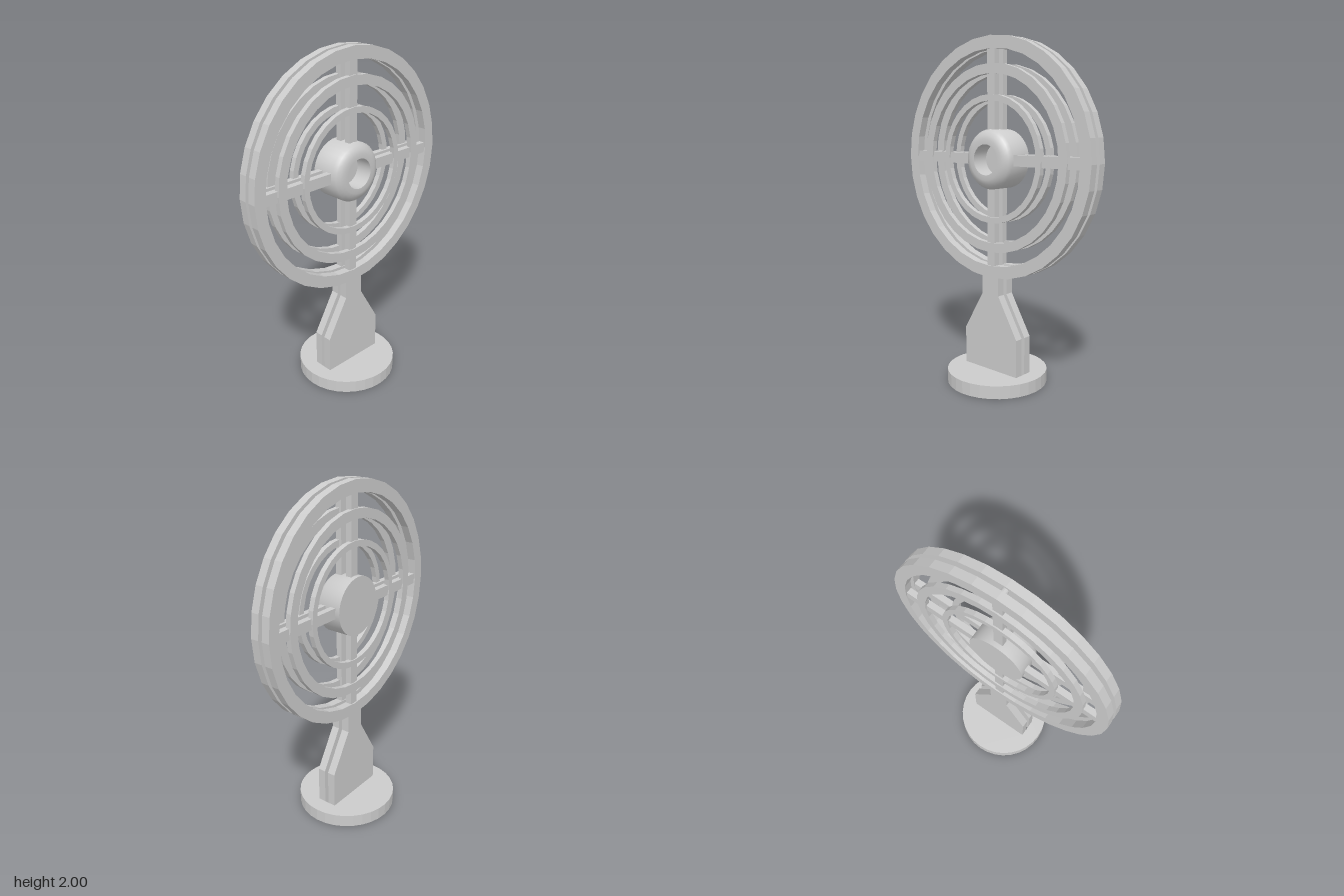
import * as THREE from 'three';
import { toCreasedNormals } from 'three/addons/utils/BufferGeometryUtils.js';

const flat = new THREE.MeshStandardMaterial({ color: 0xcccccc, flatShading: true });
const smooth = new THREE.MeshStandardMaterial({ color: 0xcccccc });
const CENTRE = 1.315; // height of the fan axis

function circle(radius, segments = 32) {
  const points = [];
  for (let i = 0; i < segments; i++) {
    const a = (i / segments) * Math.PI * 2;
    points.push(new THREE.Vector2(radius * Math.cos(a), radius * Math.sin(a)));
  }
  return points;
}

// Extrudes a side profile (z, y) across the x range
function plate(shape, x0, x1) {
  const geometry = new THREE.ExtrudeGeometry(shape, { depth: x1 - x0, bevelEnabled: false });
  return geometry.rotateY(Math.PI / 2).translate(x0, 0, 0);
}

function add(group, name, geometry, material = flat) {
  const mesh = new THREE.Mesh(geometry, material);
  mesh.name = name;
  group.add(mesh);
  return mesh;
}

function ring(outer, inner, x0, x1) {
  const shape = new THREE.Shape(circle(outer));
  shape.holes.push(new THREE.Path(circle(inner)));
  return plate(shape, x0, x1).translate(0, CENTRE, 0);
}

// Half of the cage and stand on one side (s = +1 or -1)
function createHalf(s) {
  const half = new THREE.Group();
  const range = (a, b) => (s > 0 ? [a, b] : [-b, -a]);

  add(half, 'outerRing', ring(0.685, 0.615, ...range(0.012, 0.06)));
  add(half, 'middleRing', ring(0.535, 0.48, ...range(0.03, 0.06)));
  add(half, 'innerRing', ring(0.365, 0.33, ...range(0.03, 0.06)));

  // Cross spokes between hub and outer ring
  for (const dir of [-1, 1]) {
    const x = s * 0.034;
    add(half, 'horizontalSpoke', new THREE.BoxGeometry(0.036, 0.062, 0.49))
      .position.set(x, CENTRE, dir * 0.385);
    add(half, 'verticalSpoke', new THREE.BoxGeometry(0.036, 0.49, 0.056))
      .position.set(x, CENTRE + dir * 0.385, 0);
  }

  // Stand plate: wide foot, tapered shoulders, narrow neck
  const outline = [[0.2, 0.045], [0.2, 0.295], [0.062, 0.53], [0.062, 0.655]];
  const points = [...outline, ...outline.map(([z, y]) => [-z, y]).reverse()];
  const shape = new THREE.Shape(points.map(([z, y]) => new THREE.Vector2(z, y)));
  add(half, 'standPlate', plate(shape, ...range(0.012, 0.06)));
  return half;
}

export function createModel() {
  const model = new THREE.Group();
  model.name = 'fan';

  for (const s of [1, -1]) {
    const half = createHalf(s);
    half.name = s > 0 ? 'frontHalf' : 'backHalf';
    model.add(half);
  }

  // Round base with a slot holding the stand plates
  const disc = new THREE.Shape(circle(0.295));
  disc.holes.push(new THREE.Path([[-0.06, -0.2], [-0.06, 0.2], [0.06, 0.2], [0.06, -0.2]]
    .map(([x, z]) => new THREE.Vector2(x, z))));
  const base = new THREE.ExtrudeGeometry(disc, { depth: 0.075, bevelEnabled: false });
  add(model, 'base', base.rotateX(-Math.PI / 2));

  // Hub with rounded front edge and a round recess
  const profile = [[0, -0.08], [0.17, -0.08], [0.17, 0.06], [0.157, 0.079], [0.138, 0.094],
    [0.115, 0.102], [0.087, 0.102], [0.087, 0], [0, 0]].map(([r, x]) => new THREE.Vector2(r, x));
  const hub = toCreasedNormals(new THREE.LatheGeometry(profile, 32), 0.7);
  add(model, 'hub', hub.rotateZ(-Math.PI / 2).translate(0, CENTRE, 0), smooth);

  // Small pins joining the two halves across the gap
  for (const [y, r] of [[1.97, 0.018], [0.19, 0.028], [0.125, 0.024]]) {
    const pin = new THREE.CylinderGeometry(r, r, 0.03, 16).rotateZ(Math.PI / 2);
    add(model, 'joiningPin', pin).position.y = y;
  }
  return model;
}
